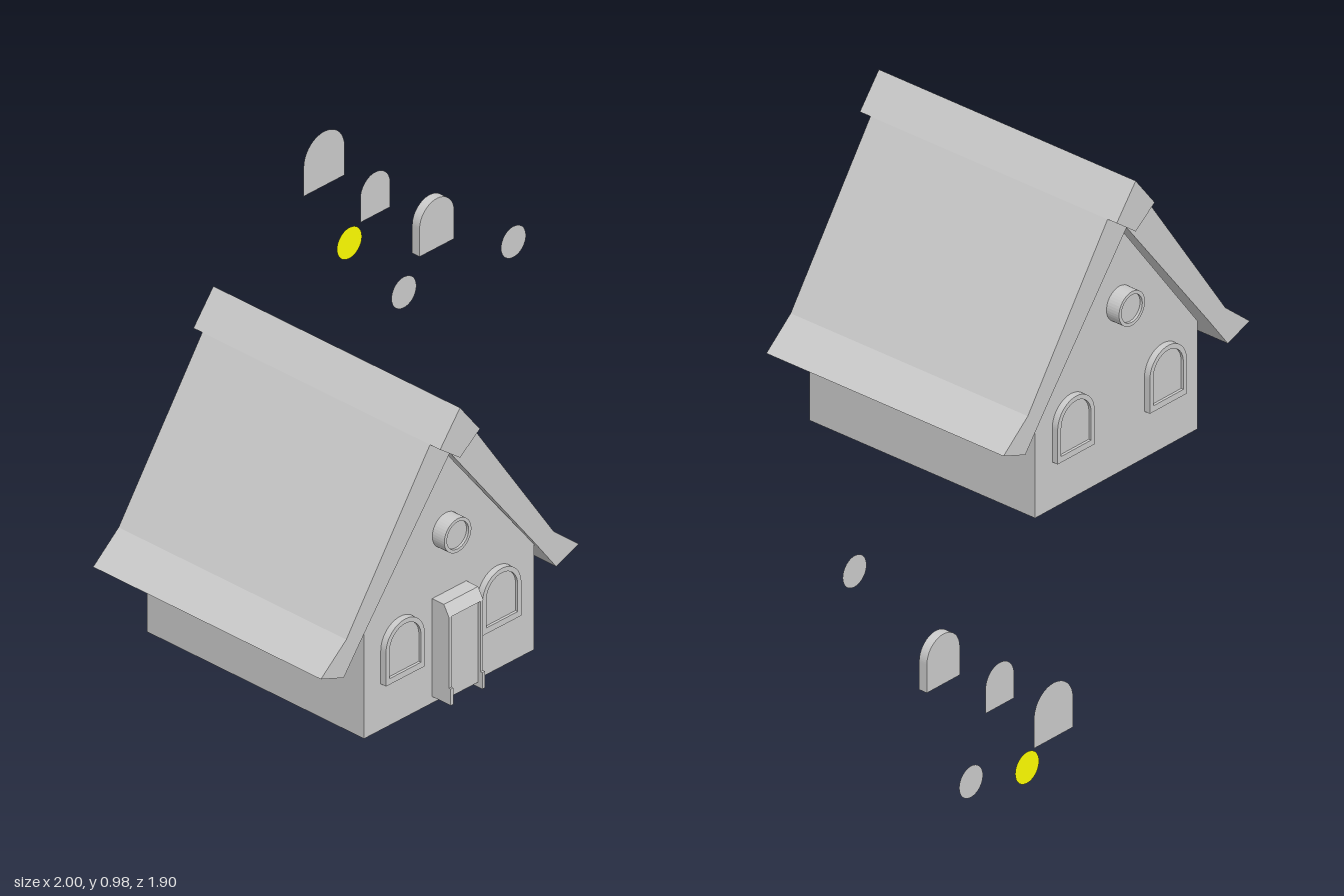
import * as THREE from 'three';

const grey = new THREE.MeshStandardMaterial({ color: 0xcccccc });
const greyThin = new THREE.MeshStandardMaterial({ color: 0xcccccc, side: THREE.DoubleSide });
const yellowThin = new THREE.MeshStandardMaterial({ color: 0xffff00, side: THREE.DoubleSide });

const MID = -0.513;                       // x of the roof ridge
const DOOR = -0.502;                      // x of the door

function polygon(points) {
  return new THREE.Shape(points.map(([x, y]) => new THREE.Vector2(x, y)));
}

// Round-topped outline, centred on x = 0, standing on y = bottom
function arch(halfWidth, bottom, top) {
  const spring = top - halfWidth;
  const s = new THREE.Shape();
  s.moveTo(-halfWidth, bottom);
  s.lineTo(halfWidth, bottom);
  s.lineTo(halfWidth, spring);
  s.absarc(0, spring, halfWidth, 0, Math.PI, false);
  s.lineTo(-halfWidth, bottom);
  return s;
}

function disc(radius) {
  return new THREE.Shape().absarc(0, 0, radius, 0, Math.PI * 2, false);
}

// Slab of a front-facing shape between two depths
function slab(name, shape, z0, z1) {
  const geo = new THREE.ExtrudeGeometry(shape, { depth: z1 - z0, bevelEnabled: false, curveSegments: 20 });
  const mesh = new THREE.Mesh(geo.translate(0, 0, z0), grey);
  mesh.name = name;
  return mesh;
}

function box(name, x0, x1, y0, y1, z0, z1) {
  const mesh = new THREE.Mesh(new THREE.BoxGeometry(x1 - x0, y1 - y0, z1 - z0), grey);
  mesh.position.set((x0 + x1) / 2, (y0 + y1) / 2, (z0 + z1) / 2);
  mesh.name = name;
  return mesh;
}

// Raised frame with a slightly recessed pane; both outlines given as shapes
function makeWindow(name, outer, inner, depth, recess) {
  const group = new THREE.Group();
  group.name = name;
  group.add(slab('windowPane', inner, 0, depth - recess));
  outer.holes.push(inner);
  group.add(slab('windowFrame', outer, 0, depth));
  return group;
}

function makeHouse() {
  const house = new THREE.Group();
  house.name = 'house';

  // Walls with gables
  house.add(slab('walls', polygon([
    [-0.823, 0.08], [-0.182, 0.08], [-0.182, 0.4], [MID, 0.817], [-0.823, 0.405],
  ]), 0.095, 0.887));

  // Two roof slopes with flared eaves
  const slope = [[0.486, 0.341], [0.39, 0.421], [0.075, 0.881], [0, 0.825], [0.325, 0.408], [0.4, 0.309]];
  for (const side of [-1, 1]) {
    house.add(slab(side < 0 ? 'rightRoofSlope' : 'leftRoofSlope',
      polygon(slope.map(([x, y]) => [MID + side * x, y])), 0.068, 0.9));
  }

  // Ridge cap
  house.add(slab('ridgeCap', polygon([
    [MID - 0.075, 0.881], [MID, 0.825], [MID + 0.075, 0.881], [MID, 0.977],
  ]), 0.036, 0.937));

  // Windows, the same on the front and back gables
  for (const face of [1, -1]) {
    const wallZ = face > 0 ? 0.885 : 0.097;
    const turn = face > 0 ? 0 : Math.PI;
    for (const x of [-0.687, -0.323]) {
      const w = makeWindow('archedWindow', arch(0.073, 0.22, 0.395), arch(0.059, 0.238, 0.381), 0.021, 0.008);
      w.position.set(x, 0, wallZ);
      w.rotation.y = turn;
      house.add(w);
    }
    const round = makeWindow('roundWindow', disc(0.051), disc(0.041), 0.046, 0.008);
    round.position.set(MID - 0.002, 0.587, wallZ);
    round.rotation.y = turn;
    house.add(round);
  }

  // Door: panel, posts with feet, sloped lintel
  house.add(box('doorPanel', DOOR - 0.055, DOOR + 0.055, 0.115, 0.366, 0.88, 0.94));
  for (const side of [-1, 1]) {
    const x = DOOR + side * 0.0595;
    house.add(box('doorPost', x - 0.005, x + 0.005, 0.1, 0.366, 0.88, 0.948));
    house.add(box('doorFoot', x - 0.005, x + 0.005, 0.1, 0.15, 0.88, 0.955));
  }
  const lintel = slab('doorLintel', polygon([
    [-0.88, 0.365], [-0.88, 0.398], [-0.93, 0.398], [-0.949, 0.365],
  ]), -0.0645, 0.0645);
  lintel.rotation.y = Math.PI / 2;        // profile x becomes -z
  lintel.position.x = DOOR;
  house.add(lintel);
  return house;
}

function makeLooseParts() {
  const parts = new THREE.Group();
  parts.name = 'looseParts';

  // Thin discs
  for (const [x, y, z, mat, name] of [
    [0.84, 0.45, -0.18, greyThin, 'upperDisc'],
    [0.943, 0.047, -0.68, greyThin, 'lowerDisc'],
    [0.913, 0.14, -0.85, yellowThin, 'yellowDisc'],
  ]) {
    const mesh = new THREE.Mesh(new THREE.CircleGeometry(0.047, 32), mat);
    mesh.position.set(x, y, z);
    mesh.name = name;
    parts.add(mesh);
  }

  // Thick arch and two thin arched panels behind it
  const thick = slab('thickArch', arch(0.065, 0.27, 0.42), -0.542, -0.515);
  thick.position.x = 0.897;
  parts.add(thick);
  for (const [x, half, bottom, top, z, name] of [
    [0.897, 0.056, 0.278, 0.408, -0.74, 'smallArchPanel'],
    [0.921, 0.077, 0.27, 0.435, -0.95, 'largeArchPanel'],
  ]) {
    const mesh = new THREE.Mesh(new THREE.ShapeGeometry(arch(half, bottom, top), 20), greyThin);
    mesh.position.set(x, 0, z);
    mesh.name = name;
    parts.add(mesh);
  }
  return parts;
}

export function createModel() {
  const model = new THREE.Group();
  model.name = 'cottage';
  model.add(makeHouse(), makeLooseParts());
  return model;
}
